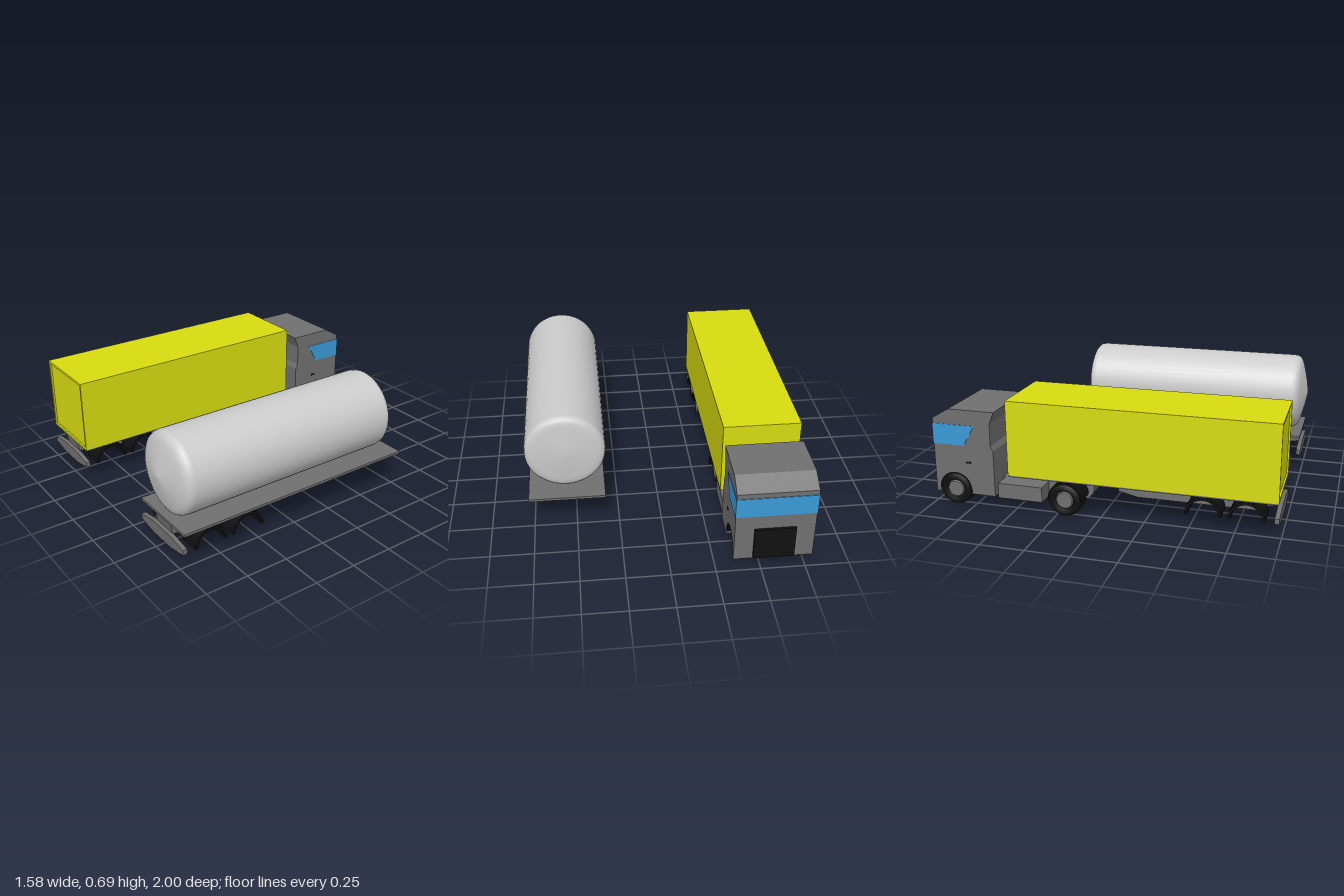
import * as THREE from 'three';

const mat = (color) => new THREE.MeshStandardMaterial({ color, side: THREE.DoubleSide });
const TRUCK_X = -0.565, TANKER_X = 0.55;

export function createModel() {
  const root = new THREE.Group();
  const grey = mat(0x707070), silver = mat(0xcccccc), black = mat(0x101010);
  const yellow = mat(0xd8dc10), blue = mat(0x3a9ad8);

  const add = (parent, name, geometry, material) => {
    const mesh = new THREE.Mesh(geometry, material);
    mesh.name = name;
    parent.add(mesh);
    return mesh;
  };
  // Box given by its limits
  const box = (parent, name, material, [x0, x1], [y0, y1], [z0, z1]) => {
    const g = new THREE.BoxGeometry(x1 - x0, y1 - y0, z1 - z0);
    g.translate((x0 + x1) / 2, (y0 + y1) / 2, (z0 + z1) / 2);
    return add(parent, name, g, material);
  };
  // Side outline in (z, y), extruded across x about a centre
  const across = (parent, name, material, shape, x, width) => {
    const g = new THREE.ExtrudeGeometry(shape, { depth: width, bevelEnabled: false, curveSegments: 16 });
    g.rotateY(-Math.PI / 2);
    g.translate(x + width / 2, 0, 0);
    return add(parent, name, g, material);
  };
  const outline = (points) => new THREE.Shape(points.map(([a, b]) => new THREE.Vector2(a, b)));

  // Pair of half-round mudguards
  const mudguards = (parent, centre, z, y = 0.097, outer = 0.1) => {
    for (const side of [-1, 1]) {
      const s = new THREE.Shape();
      s.absarc(z, y, outer, 0, Math.PI, false);
      s.absarc(z, y, outer - 0.016, Math.PI, 0, true);
      across(parent, 'mudguard', black, s, centre + side * 0.155, 0.13);
    }
  };

  // Running gear shared by both trailers
  const trailerBase = (parent, x) => {
    box(parent, 'bed', grey, [x - 0.222, x + 0.222], [0.2, 0.215], [-0.53, 0.98]);
    across(parent, 'underframe', grey, outline([
      [0.07, 0.2], [0.07, 0.125], [0.18, 0.1], [0.88, 0.1], [0.9, 0.13], [0.965, 0.14], [0.975, 0.2],
    ]), x, 0.16);
    box(parent, 'kingpin', grey, [x - 0.035, x + 0.035], [0.145, 0.2], [-0.34, -0.28]);
    for (const z of [0.58, 0.815]) mudguards(parent, x, z);
    // Rear bumper: tapered towards its ends
    const bumper = outline([
      [-0.215, 0.09], [-0.09, 0.068], [0.09, 0.068], [0.215, 0.09],
      [0.215, 0.12], [0.09, 0.14], [-0.09, 0.14], [-0.215, 0.12],
    ]);
    const g = new THREE.ExtrudeGeometry(bumper, { depth: 0.026, bevelEnabled: false });
    g.translate(x, 0, 0.962);
    add(parent, 'rearBumper', g, grey);
  };

  // Tank trailer
  const tanker = new THREE.Group();
  tanker.name = 'tankTrailer';
  root.add(tanker);
  trailerBase(tanker, TANKER_X);
  const profile = [
    [0, -0.447], [0.08, -0.441], [0.17, -0.431], [0.2, -0.427], [0.22, -0.419], [0.231, -0.406], [0.235, -0.385],
    [0.235, 0.9], [0.231, 0.925], [0.22, 0.942], [0.2, 0.954], [0.17, 0.964], [0.08, 0.987], [0, 1],
  ].map(([r, z]) => new THREE.Vector2(r, z));
  const tank = new THREE.LatheGeometry(profile, 48);
  tank.rotateX(Math.PI / 2);
  tank.translate(TANKER_X, 0.455, 0);
  add(tanker, 'tank', tank, silver);

  // Box trailer with a recessed rear door
  const trailer = new THREE.Group();
  trailer.name = 'boxTrailer';
  root.add(trailer);
  trailerBase(trailer, TRUCK_X);
  box(trailer, 'cargoBox', yellow, [-0.788, -0.342], [0.208, 0.643], [-0.535, 0.972]);
  const frame = outline([[-0.788, 0.208], [-0.342, 0.208], [-0.342, 0.643], [-0.788, 0.643]]);
  frame.holes.push(outline([[-0.774, 0.222], [-0.774, 0.629], [-0.356, 0.629], [-0.356, 0.222]]));
  const frameGeo = new THREE.ExtrudeGeometry(frame, { depth: 0.01, bevelEnabled: false });
  frameGeo.translate(0, 0, 0.972);
  add(trailer, 'doorFrame', frameGeo, yellow);

  // Tractor
  const tractor = new THREE.Group();
  tractor.name = 'tractor';
  root.add(tractor);
  const cab = new THREE.Shape();
  cab.moveTo(-0.985, 0.07);
  cab.lineTo(-0.985, 0.51);
  cab.lineTo(-0.885, 0.57);
  cab.lineTo(-0.607, 0.57);
  cab.lineTo(-0.635, 0.5);
  cab.lineTo(-0.635, 0.37);
  cab.lineTo(-0.62, 0.34);
  cab.lineTo(-0.62, 0.07);
  cab.lineTo(-0.763, 0.07);
  cab.absarc(-0.862, 0.095, 0.1, -0.25, Math.PI + 0.25, false);
  across(tractor, 'cab', grey, cab, TRUCK_X, 0.444);
  across(tractor, 'windows', blue, outline([
    [-0.988, 0.36], [-0.8, 0.36], [-0.73, 0.48], [-0.988, 0.48],
  ]), TRUCK_X, 0.449);
  box(tractor, 'grille', black, [-0.68, -0.45], [0.08, 0.275], [-1, -0.98]);
  for (const side of [-1, 1]) {
    const x = TRUCK_X + side * 0.222;
    box(tractor, 'doorHandle', black, [x - 0.004, x + 0.004], [0.256, 0.264], [-0.79, -0.76]);
    const c = TRUCK_X + side * 0.155;
    box(tractor, 'sideTank', grey, [c - 0.055, c + 0.055], [0.06, 0.148], [-0.605, -0.34]);
  }

  // Tractor chassis with a tapered tail
  across(tractor, 'chassis', grey, outline([
    [-0.97, 0.075], [-0.1, 0.07], [-0.07, 0.105], [-0.065, 0.148], [-0.97, 0.148],
  ]), TRUCK_X, 0.2);
  mudguards(tractor, TRUCK_X, -0.2);
  mudguards(tractor, TRUCK_X, -0.862, 0.095);

  // Wheels on the right side
  for (const z of [-0.2, -0.862]) {
    const wheel = new THREE.Group();
    wheel.name = 'wheel';
    wheel.position.set(-0.738, 0.095, z);
    tractor.add(wheel);
    const tyre = new THREE.LatheGeometry([
      [0, -0.055], [0.085, -0.055], [0.095, -0.045], [0.095, 0.04], [0.087, 0.055], [0.055, 0.055], [0.05, 0.045], [0, 0.045],
    ].map(([r, h]) => new THREE.Vector2(r, h)), 32);
    tyre.rotateZ(Math.PI / 2);
    add(wheel, 'tyre', tyre, black);
    const hub = new THREE.CylinderGeometry(0.045, 0.052, 0.008, 24);
    hub.rotateZ(Math.PI / 2);
    hub.translate(-0.049, 0, 0);
    add(wheel, 'hub', hub, grey);
  }
  return root;
}
